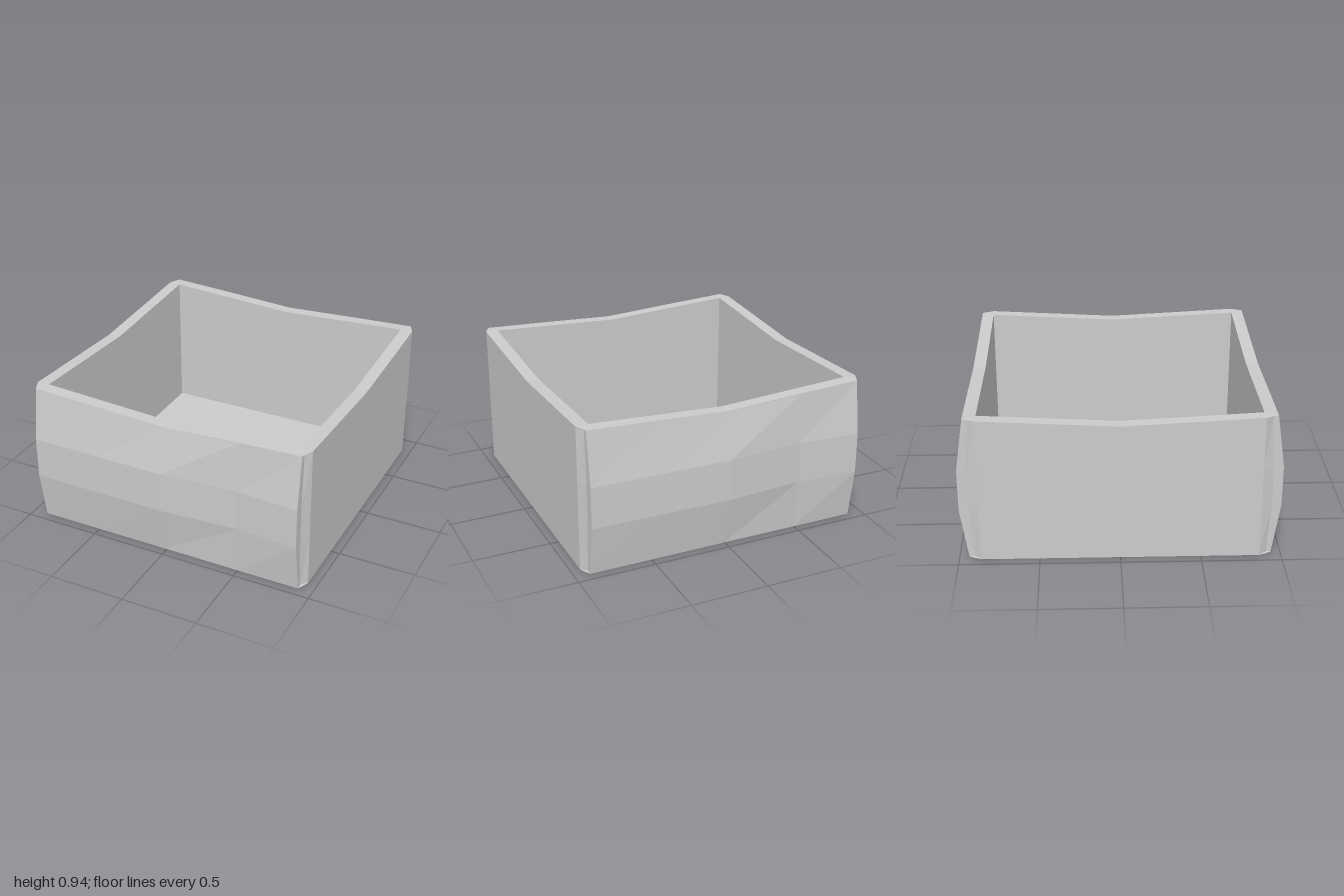
import * as THREE from 'three';

const IN = 0.86, FLOOR = 0.03;
const clamp = (v) => Math.max(-IN, Math.min(IN, v));
// Rim dips in the middle of every wall and rises to the corners
const rimY = (x, z) => 0.9 + 0.045 * Math.min(1, Math.min(Math.abs(x), Math.abs(z)) / IN);

// One outer loop, counter-clockwise from above: bulging panel, notched corner, flat side, repeated by half a turn
function outerLoop(height, bulge, notched) {
  const panel = [[-0.905, 0.05], [-0.45, 0.055], [0, 0.06], [0.5, 0.025], [0.905, 0.05]];
  const nx = notched ? 0.907 : 0.9225;
  const nz = notched ? 0.91 + 0.02 * bulge : 0.9025;
  const half = [
    ...panel.map(([x, out]) => [x, 0.94 + out * bulge]),
    [nx, nz], [0.94, 0.865], [0.94, 0], [0.94, -0.865], [nx, -nz],
  ];
  const loop = [...half, ...half.map(([x, z]) => [-x, -z])];
  return loop.map(([x, z]) => new THREE.Vector3(x, height(x, z), z));
}

// Faces joining consecutive loops
function loft(name, loops, material) {
  const pos = [];
  const tri = (a, b, c) => {
    const area = b.clone().sub(a).cross(c.clone().sub(a)).length();
    if (area > 1e-8) for (const p of [a, b, c]) pos.push(p.x, p.y, p.z);
  };
  for (let k = 0; k + 1 < loops.length; k++) {
    const lo = loops[k], hi = loops[k + 1], n = lo.length;
    for (let i = 0; i < n; i++) {
      const j = (i + 1) % n;
      tri(lo[i], lo[j], hi[j]);
      tri(lo[i], hi[j], hi[i]);
    }
  }
  const geometry = new THREE.BufferGeometry();
  geometry.setAttribute('position', new THREE.Float32BufferAttribute(pos, 3));
  geometry.computeVertexNormals();
  const mesh = new THREE.Mesh(geometry, material);
  mesh.name = name;
  return mesh;
}

export function createModel() {
  const group = new THREE.Group();
  group.name = 'openBox';
  const material = new THREE.MeshStandardMaterial({ color: 0xcccccc, flatShading: true });

  const outer = [
    outerLoop(() => 0, 0, false),
    outerLoop(() => 0.006, 0.02, true),
    outerLoop(() => 0.33, 1, true),
    outerLoop(() => 0.6, 1, true),
    outerLoop((x, z) => rimY(x, z) - 0.006, 0.02, true),
    outerLoop(rimY, 0, false),
  ];
  const bottom = outer[0], top = outer[outer.length - 1];
  const innerTop = top.map((p) => {
    const x = clamp(p.x), z = clamp(p.z);
    return new THREE.Vector3(x, rimY(x, z), z);
  });
  const innerFloor = innerTop.map((p) => new THREE.Vector3(p.x, FLOOR, p.z));
  const centre = (y) => bottom.map(() => new THREE.Vector3(0, y, 0));

  group.add(
    loft('base', [centre(0), bottom], material),
    loft('outerWalls', outer, material),
    loft('rim', [top, innerTop], material),
    loft('innerWalls', [innerTop, innerFloor], material),
    loft('floor', [innerFloor, centre(FLOOR)], material),
  );
  return group;
}
